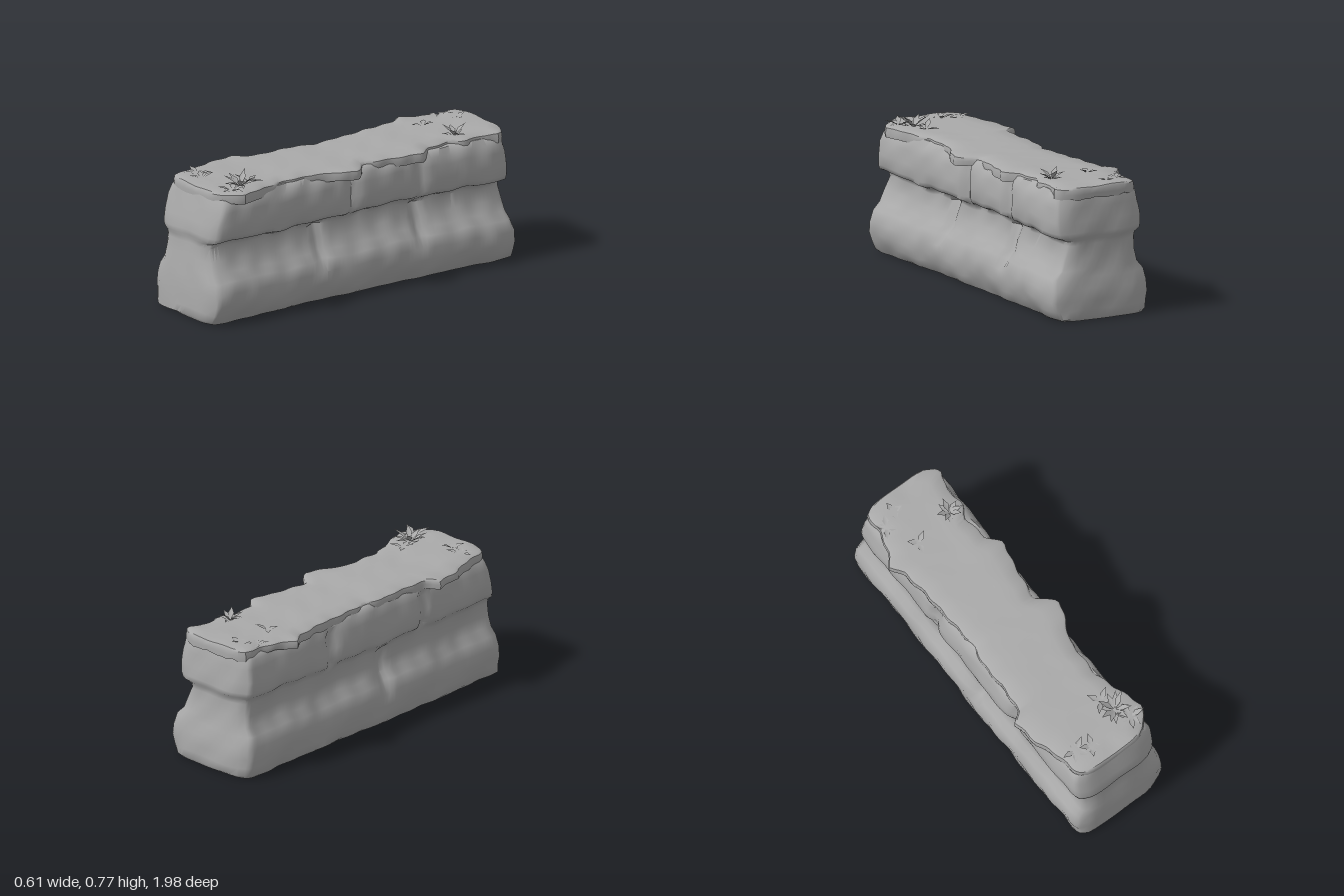
import * as THREE from 'three';
import { toCreasedNormals } from 'three/addons/utils/BufferGeometryUtils.js';

const SIDE = 80, END = 12;

// Smooth repeatable roughness, about -1 to 1
const rough = (a, b, c) =>
  (Math.sin(7 * a + 5 * b + 1.3) + Math.sin(13 * b - 9 * c + 0.7) + Math.sin(11 * c + 17 * a + 2.1) +
   0.6 * Math.sin(29 * b + 21 * c) + 0.5 * Math.sin(41 * b - 15 * a)) / 3.2;

// Linear lookup in [z, width] pairs
function lookup(table, z) {
  for (let i = 1; i < table.length; i++) {
    const [z0, w0] = table[i - 1], [z1, w1] = table[i];
    if (z <= z1) return THREE.MathUtils.lerp(w0, w1, THREE.MathUtils.clamp((z - z0) / (z1 - z0), 0, 1));
  }
  return table[table.length - 1][1];
}

// Unit rectangle outline, anticlockwise from above
function outline() {
  const pts = [];
  for (let i = 0; i < SIDE; i++) pts.push([1, 1 - 2 * i / SIDE]);
  for (let i = 0; i < END; i++) pts.push([1 - 2 * i / END, -1]);
  for (let i = 0; i < SIDE; i++) pts.push([-1, -1 + 2 * i / SIDE]);
  for (let i = 0; i < END; i++) pts.push([-1 + 2 * i / END, 1]);
  return pts;
}

// Skin a stack of outlines, each placed by the rule point(s, t, row)
function loft(rows, point, crease) {
  const ring = outline(), n = ring.length, pos = [], index = [];
  rows.forEach((row, i) => ring.forEach(([s, t], j) => {
    pos.push(...point(s, t, row));
    if (i === rows.length - 1) return;
    const k = (j + 1) % n, a = i * n + j, b = i * n + k;
    index.push(a, b, b + n, a, b + n, a + n);
  }));
  const geo = new THREE.BufferGeometry();
  geo.setAttribute('position', new THREE.Float32BufferAttribute(pos, 3));
  geo.setIndex(index);
  return toCreasedNormals(geo, crease);
}

// Stone courses: y, left, right, front, back, inward fill
const COURSES = [
  [0, 0.265, 0.24, 0.98, 0.98, 0],
  [0, 0.265, 0.24, 0.98, 0.98, 1],
  [0.02, 0.28, 0.255, 0.995, 0.995, 1],
  [0.06, 0.285, 0.275, 0.995, 0.995, 1],
  [0.11, 0.292, 0.295, 0.995, 0.993, 1],
  [0.17, 0.288, 0.3, 0.99, 0.985, 1],
  [0.23, 0.272, 0.28, 0.982, 0.972, 1],
  [0.27, 0.24, 0.235, 0.978, 0.965, 1],
  [0.33, 0.232, 0.21, 0.972, 0.957, 1],
  [0.4, 0.228, 0.183, 0.962, 0.948, 1],
  [0.425, 0.235, 0.195, 0.96, 0.95, 1],
  [0.445, 0.255, 0.25, 0.967, 0.967, 1],
  [0.47, 0.262, 0.262, 0.967, 0.968, 1],
  [0.53, 0.262, 0.262, 0.96, 0.963, 1],
  [0.6, 0.253, 0.252, 0.942, 0.953, 1],
  [0.645, 0.24, 0.238, 0.928, 0.945, 1],
  [0.675, 0.215, 0.215, 0.918, 0.935, 1],
  [0.68, 0.21, 0.21, 0.918, 0.935, 0.8],
  [0.68, 0.21, 0.21, 0.918, 0.935, 0],
];

// Vertical joints: side, z, lowest y, highest y
const JOINTS = [
  [1, 0.05, 0.43, 0.66], [1, -0.38, 0.43, 0.66], [1, 0.25, 0.2, 0.42], [1, -0.38, 0.18, 0.42],
  [-1, 0.4, 0.44, 0.64], [-1, -0.3, 0.44, 0.64], [-1, 0.1, 0.2, 0.42],
];

function stonePoint(s, t, [y, left, right, front, back, fill]) {
  const end = Math.abs(t) ** 24;
  let z = t * (t > 0 ? front : back);
  let half = s > 0 ? right * (0.9 + 0.1 * Math.min(1, 1.5 * t * t)) : left;
  half *= 1 - 0.1 * end;
  for (const [side, jz, y0, y1] of JOINTS)
    if (side * s > 0.99 && y > y0 && y < y1) half -= 0.03 * Math.exp(-(((z - jz) / 0.035) ** 2));
  const lump = rough(s, z, y * 2);
  half += 0.012 * lump;
  z -= Math.sign(t) * end * (0.025 * s ** 6 + 0.006 * (1 - rough(s * 0.4, t, y * 3)));
  const wave = y > 0.01 && y < 0.66 ? 0.014 * rough(s * 0.2, z, 1) : 0;
  return [s * half * fill, y + wave, z * (0.9 + 0.1 * fill)];
}

// Ragged rim of the covering layer
const RIM_RIGHT = [
  [-0.95, 0.2], [-0.88, 0.24], [-0.78, 0.2], [-0.68, 0.22], [-0.6, 0.18], [-0.45, 0.2], [-0.37, 0.26],
  [-0.25, 0.23], [-0.03, 0.195], [0.06, 0.295], [0.15, 0.26], [0.27, 0.2], [0.5, 0.195], [0.62, 0.23],
  [0.78, 0.28], [0.86, 0.24], [0.92, 0.2],
];
const RIM_LEFT = [
  [-0.95, 0.22], [-0.8, 0.22], [-0.68, 0.26], [-0.62, 0.3], [-0.55, 0.26], [-0.4, 0.24], [0, 0.215],
  [0.1, 0.24], [0.3, 0.235], [0.42, 0.25], [0.46, 0.305], [0.62, 0.285], [0.7, 0.25], [0.92, 0.21],
];
// Covering layer: y, inward fill, amount of hanging
const COVER = [
  [0.66, 0.8, 0], [0.645, 0.97, 1], [0.645, 1, 1], [0.668, 1.01, 0.4], [0.686, 0.99, 0],
  [0.694, 0.93, 0], [0.697, 0.6, 0], [0.697, 0.3, 0], [0.697, 0, 0],
];

function coverPoint(s, t, [y, fill, hang]) {
  const z = t * (t > 0 ? 0.92 : 0.95);
  const rim = lookup(s > 0 ? RIM_RIGHT : RIM_LEFT, z) + 0.005 * Math.sin(47 * z + s);
  const x = s * rim * fill;
  const drop = hang * 0.012 * rough(s, z * 1.5, 0.4);
  const swell = hang ? 0 : 0.005 * rough(x * 2, z * 0.8, 0.2) + 0.006 * t * t;
  const corner = 0.03 * Math.abs(t) ** 24 * s ** 6;
  return [x, y + drop + swell, (z - Math.sign(t) * corner) * (0.9 + 0.1 * fill)];
}

// Folded pointed leaf, one unit long towards +z
function leafGeometry() {
  const geo = new THREE.BufferGeometry();
  geo.setAttribute('position', new THREE.Float32BufferAttribute(
    [0, 0, 0, -0.5, 0.12, 0.5, 0, 0, 0.5, 0.5, 0.12, 0.5, 0, -0.06, 1], 3));
  geo.setIndex([0, 1, 2, 0, 2, 3, 1, 4, 2, 2, 4, 3]);
  return toCreasedNormals(geo, 0.5);
}

// Tufts: x, z, leaf count, leaf length, steepness
const TUFTS = [
  [0.15, 0.72, 11, 0.11, 0.6], [0.19, 0.8, 7, 0.085, 0.35], [0.12, 0.64, 4, 0.09, 0.4],
  [-0.15, 0.78, 5, 0.08, 0.25], [-0.07, 0.81, 4, 0.07, 0.4],
  [0.13, -0.67, 8, 0.085, 0.65], [-0.1, -0.85, 4, 0.06, 0.45],
  [-0.18, -0.8, 4, 0.07, 0.2], [-0.1, -0.63, 3, 0.07, 0.4],
];

export function createModel() {
  const model = new THREE.Group();
  const stone = new THREE.MeshStandardMaterial({ color: 0xaaaaaa, side: THREE.DoubleSide });
  stone.name = 'grey stone';

  const add = (name, geometry, parent = model) => {
    const mesh = new THREE.Mesh(geometry, stone);
    mesh.name = name;
    parent.add(mesh);
    return mesh;
  };

  add('stoneWall', loft(COURSES, stonePoint, 0.9));
  add('overhangingCover', loft(COVER, coverPoint, 0.7));

  // Leafy tufts at both ends of the top
  const leaf = leafGeometry();
  TUFTS.forEach(([x, z, count, length, steep], k) => {
    const tuft = new THREE.Group();
    tuft.name = 'leafTuft';
    tuft.position.set(x, 0.695, z);
    for (let i = 0; i < count; i++) {
      const vary = 0.5 + 0.5 * Math.sin(i * 2.4 + k * 1.7);
      const blade = add('leaf', leaf, tuft);
      blade.rotation.set(-steep * (0.35 + 0.85 * vary), i * Math.PI * 2 / count + 0.4 * vary + k, 0, 'YXZ');
      const l = length * (0.8 + 0.25 * vary);
      blade.scale.set(0.032, 0.05, l);
    }
    model.add(tuft);
  });
  return model;
}
